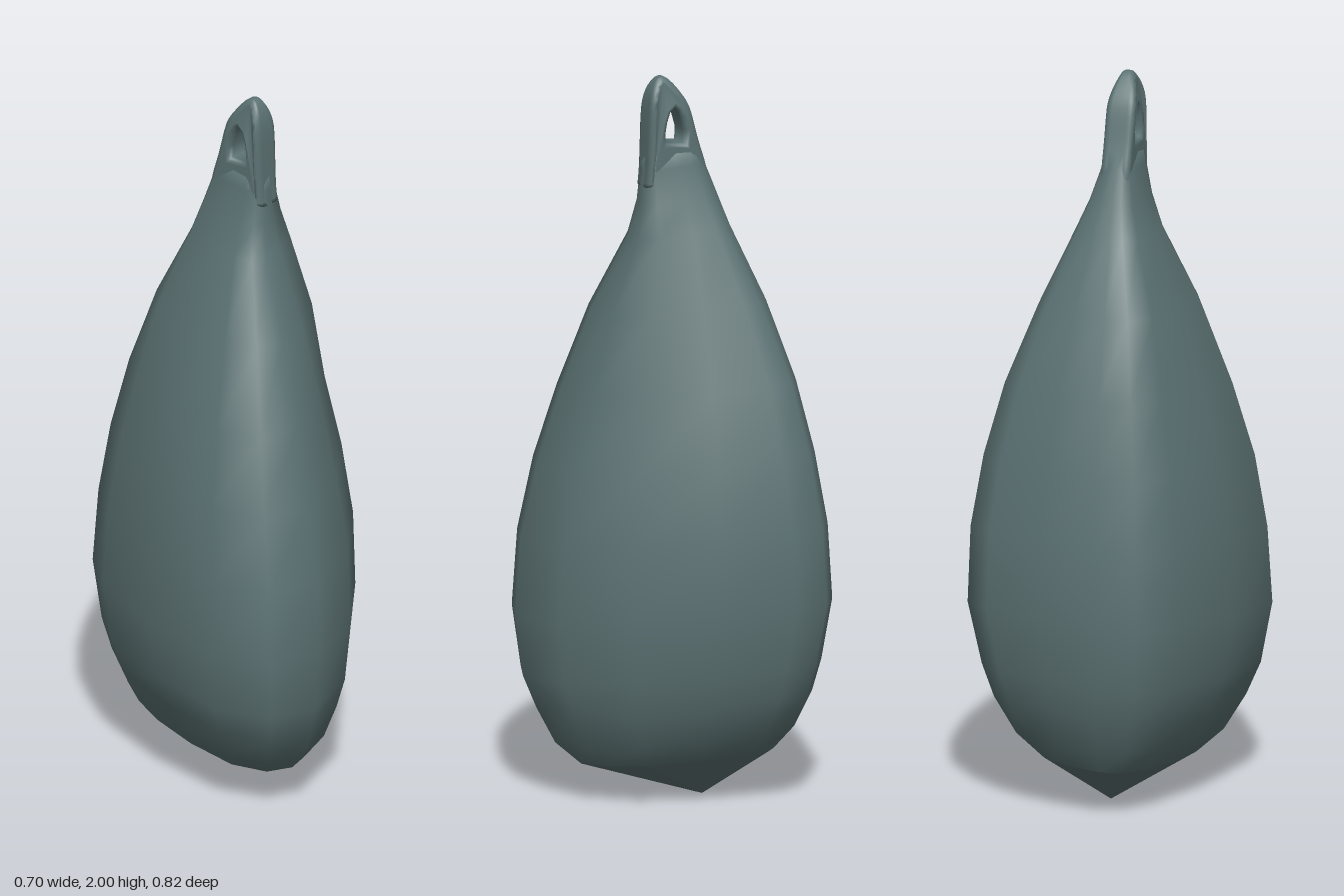
import * as THREE from 'three';
import { mergeVertices } from 'three/addons/utils/BufferGeometryUtils.js';

// Widest outline of the drop seen from above, as (x, z)
const OUTLINE = [
  [-0.045, -0.41], [0.12, -0.38], [0.28, -0.33], [0.35, -0.28], [0.35, -0.19],
  [0.31, 0.02], [0.21, 0.23], [0.035, 0.365], [-0.15, 0.41], [-0.285, 0.355],
  [-0.355, 0.205], [-0.325, -0.04], [-0.245, -0.275], [-0.16, -0.385],
];
// Heights with their extents: y, xMin, xMax, zMin, zMax
const ROWS = [
  [0.115, -0.17, 0.16, -0.28, 0.25],
  [0.18, -0.235, 0.23, -0.325, 0.315],
  [0.28, -0.29, 0.285, -0.365, 0.36],
  [0.37, -0.325, 0.315, -0.387, 0.392],
  [0.54, -0.355, 0.35, -0.41, 0.41],
  [0.75, -0.343, 0.345, -0.395, 0.397],
  [0.95, -0.315, 0.315, -0.36, 0.355],
  [1.15, -0.262, 0.265, -0.312, 0.297],
  [1.37, -0.188, 0.19, -0.232, 0.22],
  [1.57, -0.097, 0.11, -0.137, 0.127],
  [1.66, -0.066, 0.073, -0.105, 0.109],
  [1.75, -0.046, 0.046, -0.073, 0.102],
  [1.79, -0.041, 0.041, -0.062, 0.099],
];
const TILT = 0.055;

// One cross-section: the drop outline, turning into a rounded box at the neck
function ring([y, x0, x1, z0, z1]) {
  const blend = THREE.MathUtils.smoothstep(y, 1.15, 1.7);
  return OUTLINE.map(([px, pz]) => {
    const u = px / 0.3525, v = pz / 0.41;
    const k = Math.pow(u ** 4 + v ** 4, -0.25);
    const s = THREE.MathUtils.lerp(1, k, blend);
    const x = (x0 + x1) / 2 + u * s * (x1 - x0) / 2;
    const z = (z0 + z1) / 2 + v * s * (z1 - z0) / 2;
    return [x, y + TILT * (x - z), z];
  });
}

function fromTriangles(points, index) {
  const geometry = new THREE.BufferGeometry();
  geometry.setAttribute('position', new THREE.Float32BufferAttribute(points.flat(), 3));
  geometry.setIndex(index);
  geometry.computeVertexNormals();
  return geometry;
}

function bodyGeometry() {
  const n = OUTLINE.length;
  const points = ROWS.flatMap(ring);
  const index = [];
  for (let r = 0; r < ROWS.length - 1; r++) {
    for (let i = 0; i < n; i++) {
      const a = r * n + i, b = r * n + (i + 1) % n;
      index.push(a, a + n, b, b, a + n, b + n);
    }
  }
  // Close the neck
  const top = points.length, last = top - n;
  points.push([0, 1.79, 0.02]);
  for (let i = 0; i < n; i++) index.push(top, last + (i + 1) % n, last + i);
  return fromTriangles(points, index);
}

// Faceted point under the drop
function baseGeometry() {
  const n = OUTLINE.length;
  const points = [...ring(ROWS[0]), [0.01, 0, -0.07]];
  const index = [];
  for (let i = 0; i < n; i++) index.push(n, i, (i + 1) % n);
  const geometry = fromTriangles(points, index).toNonIndexed();
  geometry.computeVertexNormals();
  return geometry;
}

// Flattened loop with a hole running from side to side
function eyeGeometry() {
  const vectors = (list) => list.map(([z, y]) => new THREE.Vector2(z, y));
  const shape = new THREE.Shape();
  shape.moveTo(-0.08, 1.7);
  shape.lineTo(0.105, 1.7);
  shape.splineThru(vectors([
    [0.1, 1.76], [0.095, 1.9], [0.085, 1.96], [0.067, 1.992], [0.05, 2.0], [0.03, 1.99],
    [0.0, 1.955], [-0.025, 1.91], [-0.05, 1.82], [-0.072, 1.75], [-0.08, 1.7],
  ]));
  shape.holes.push(new THREE.Path(vectors([
    [-0.005, 1.815], [-0.006, 1.85], [0.004, 1.885], [0.014, 1.905], [0.022, 1.912],
    [0.034, 1.902], [0.043, 1.875], [0.048, 1.845], [0.046, 1.82],
  ])));
  let geometry = new THREE.ExtrudeGeometry(shape, {
    depth: 0.044, curveSegments: 3, bevelEnabled: true, bevelSegments: 3,
    bevelThickness: 0.019, bevelSize: 0.014, bevelOffset: -0.014,
  });
  geometry.translate(0, 0, -0.022);
  geometry.rotateY(-Math.PI / 2);
  // Narrow the loop towards its tip
  const p = geometry.attributes.position;
  for (let i = 0; i < p.count; i++) {
    const t = THREE.MathUtils.clamp((p.getY(i) - 1.9) / 0.1, 0, 1);
    p.setX(i, p.getX(i) * (1 - 0.65 * t * t));
  }
  geometry.deleteAttribute('uv');
  geometry.deleteAttribute('normal');
  geometry = mergeVertices(geometry, 1e-4);
  geometry.computeVertexNormals();
  return geometry;
}

export function createModel() {
  const lead = new THREE.MeshStandardMaterial({ color: 0x5c7273 });
  lead.name = 'grey green metal';
  const group = new THREE.Group();
  group.name = 'teardropWeight';
  const parts = { body: bodyGeometry(), pointedBase: baseGeometry(), eyeLoop: eyeGeometry() };
  for (const [name, geometry] of Object.entries(parts)) {
    const mesh = new THREE.Mesh(geometry, lead);
    mesh.name = name;
    group.add(mesh);
  }
  return group;
}
